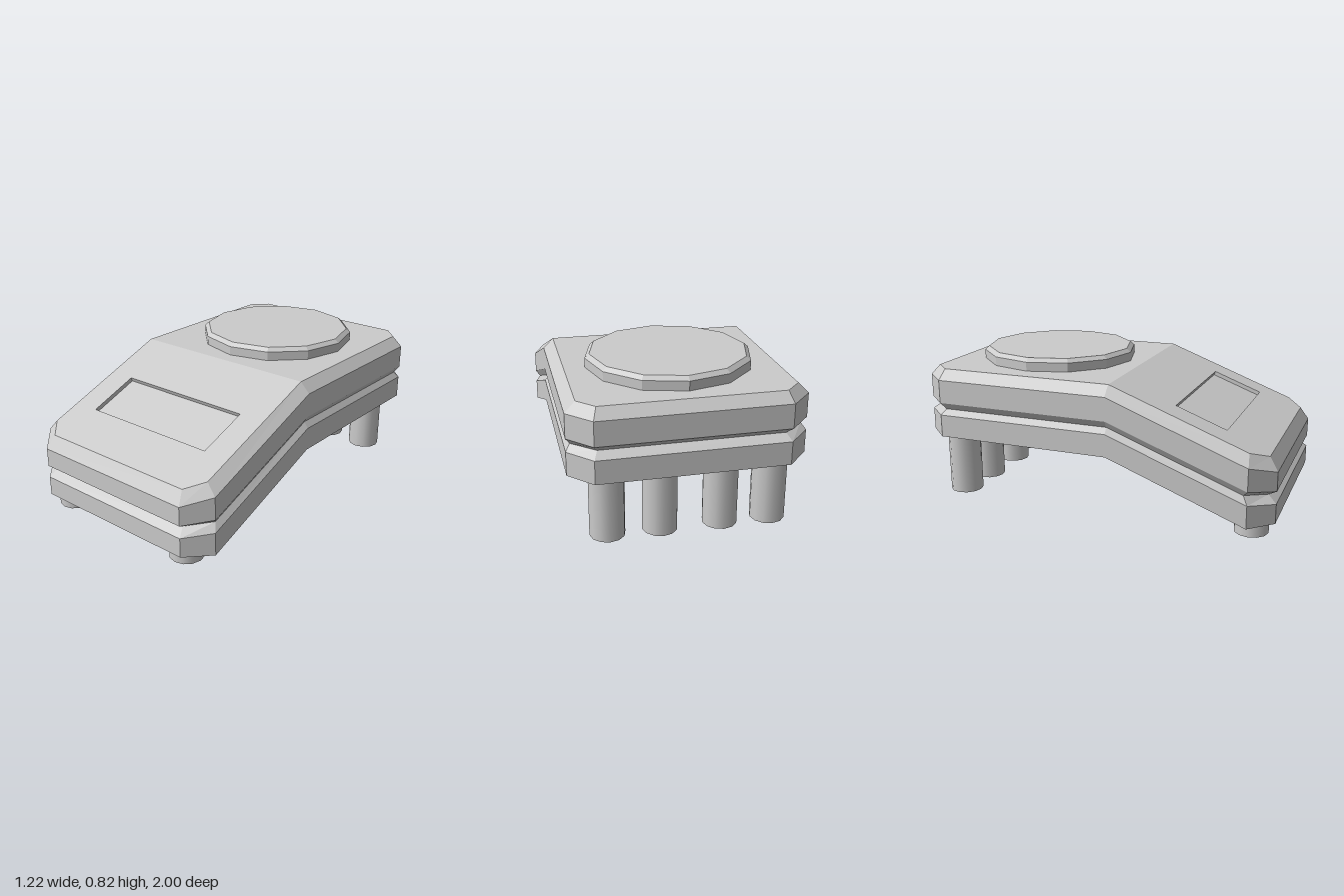
import * as THREE from 'three';

const BEND = 0.115; // z where the flat rear deck meets the sloping front

const material = new THREE.MeshStandardMaterial({ color: 0xcccccc, flatShading: true });
const openMaterial = new THREE.MeshStandardMaterial({ color: 0xcccccc, side: THREE.DoubleSide });

// Mesh from a list of quads, each with corners counter-clockwise from outside
function quadMesh(name, quads) {
  const points = quads.flatMap(([a, b, c, d]) => [a, b, c, a, c, d]).flat();
  const geometry = new THREE.BufferGeometry();
  geometry.setAttribute('position', new THREE.Float32BufferAttribute(points, 3));
  geometry.computeVertexNormals();
  const mesh = new THREE.Mesh(geometry, material);
  mesh.name = name;
  return mesh;
}

// One horizontal outline: right-hand points from front to back, mirrored for the left
// x, z: half sizes; cx, cz: where the corner cuts start; heights at front, cut and deck
function outline({ x, z, cx, cz, front, cut, deck }) {
  const right = [[cx, front, z], [x, cut, cz], [x, deck, BEND], [x, deck, -cz], [cx, deck, -z]];
  const left = right.map(([px, y, pz]) => [-px, y, pz]);
  return { right, left, ring: [...right, ...left.slice().reverse()] };
}

// Wall joining a lower ring to an upper ring
function wall(low, high) {
  return low.map((p, i) => {
    const j = (i + 1) % low.length;
    return [p, low[j], high[j], high[i]];
  });
}

// Cap made of strips from side to side
function cap({ right, left }, from = 0) {
  const strips = [];
  for (let i = from; i < 4; i++) strips.push([right[i], right[i + 1], left[i + 1], left[i]]);
  return strips;
}

const flip = (quads) => quads.map((q) => q.slice().reverse());

const OUTER = { x: 0.61, z: 1, cx: 0.49, cz: 0.875 };
const WAIST = { x: 0.587, z: 0.955, cx: 0.47, cz: 0.85 };
const TOP = { x: 0.555, z: 0.953, cx: 0.47, cz: 0.865 };

const slopeY = (z) => 0.745 - 0.375 * (z - BEND);

export function createModel() {
  const model = new THREE.Group();

  // Lower and upper shells, meeting in a V-shaped groove
  const base = outline({ ...OUTER, front: 0.08, cut: 0.08, deck: 0.365 });
  const baseEdge = outline({ ...OUTER, front: 0.187, cut: 0.205, deck: 0.49 });
  const groove = outline({ ...WAIST, front: 0.228, cut: 0.25, deck: 0.523 });
  const lidEdge = outline({ ...OUTER, front: 0.256, cut: 0.278, deck: 0.56 });
  const shoulder = outline({ ...OUTER, front: 0.36, cut: 0.402, deck: 0.69 });
  const top = outline({ ...TOP, front: slopeY(TOP.z), cut: slopeY(TOP.cz), deck: 0.745 });

  model.add(quadMesh('lowerShell', [
    ...flip(cap(base)),
    ...wall(base.ring, baseEdge.ring),
    ...wall(baseEdge.ring, groove.ring),
  ]));
  model.add(quadMesh('upperShell', [
    ...wall(groove.ring, lidEdge.ring),
    ...wall(lidEdge.ring, shoulder.ring),
    ...wall(shoulder.ring, top.ring),
    ...cap(top, 2),
  ]));

  // Sloping front panel with the display opening
  const rim = [[0.403, 0.713], [0.403, 0.435], [-0.403, 0.435], [-0.403, 0.713]];
  const edge = [...top.right.slice(0, 3), ...top.left.slice(0, 3).reverse()];
  const shape = new THREE.Shape(edge.map(([x, , z]) => new THREE.Vector2(x, -z)));
  shape.holes.push(new THREE.Path(rim.map(([x, z]) => new THREE.Vector2(x, -z))));
  const panel = new THREE.ShapeGeometry(shape).rotateX(-Math.PI / 2);
  const pos = panel.attributes.position;
  for (let i = 0; i < pos.count; i++) pos.setY(i, slopeY(pos.getZ(i)));
  panel.computeVertexNormals();
  const panelMesh = new THREE.Mesh(panel, material);
  panelMesh.name = 'frontPanel';
  model.add(panelMesh);

  // Shallow recess, sunk square to the slope
  const rimRing = rim.map(([x, z]) => [x, slopeY(z), z]);
  const floorRing = rimRing.map(([x, y, z]) => [x, y - 0.021, z - 0.008]);
  model.add(quadMesh('displayRecess', [...flip(wall(floorRing, rimRing)), floorRing]));

  // Twelve-sided weighing plate with a bevelled rim
  const profile = [[0.445, 0.74], [0.445, 0.795], [0.421, 0.816], [0, 0.816]];
  const plate = new THREE.Mesh(
    new THREE.LatheGeometry(profile.map(([r, y]) => new THREE.Vector2(r, y)), 12), material);
  plate.position.z = -0.415;
  plate.name = 'weighingPlate';
  model.add(plate);

  // Hollow feet: two short at the front, four tall at the back
  function addFoot(name, x, z, height) {
    const foot = new THREE.Mesh(
      new THREE.CylinderGeometry(0.092, 0.092, height, 12, 1, true), openMaterial);
    foot.position.set(x, height / 2, z);
    foot.name = name;
    model.add(foot);
  }
  for (const x of [-0.437, 0.412]) addFoot('frontFoot', x, 0.868, 0.125);
  for (const x of [-0.437, -0.177, 0.14, 0.412]) addFoot('backFoot', x, -0.84, 0.37);

  return model;
}
